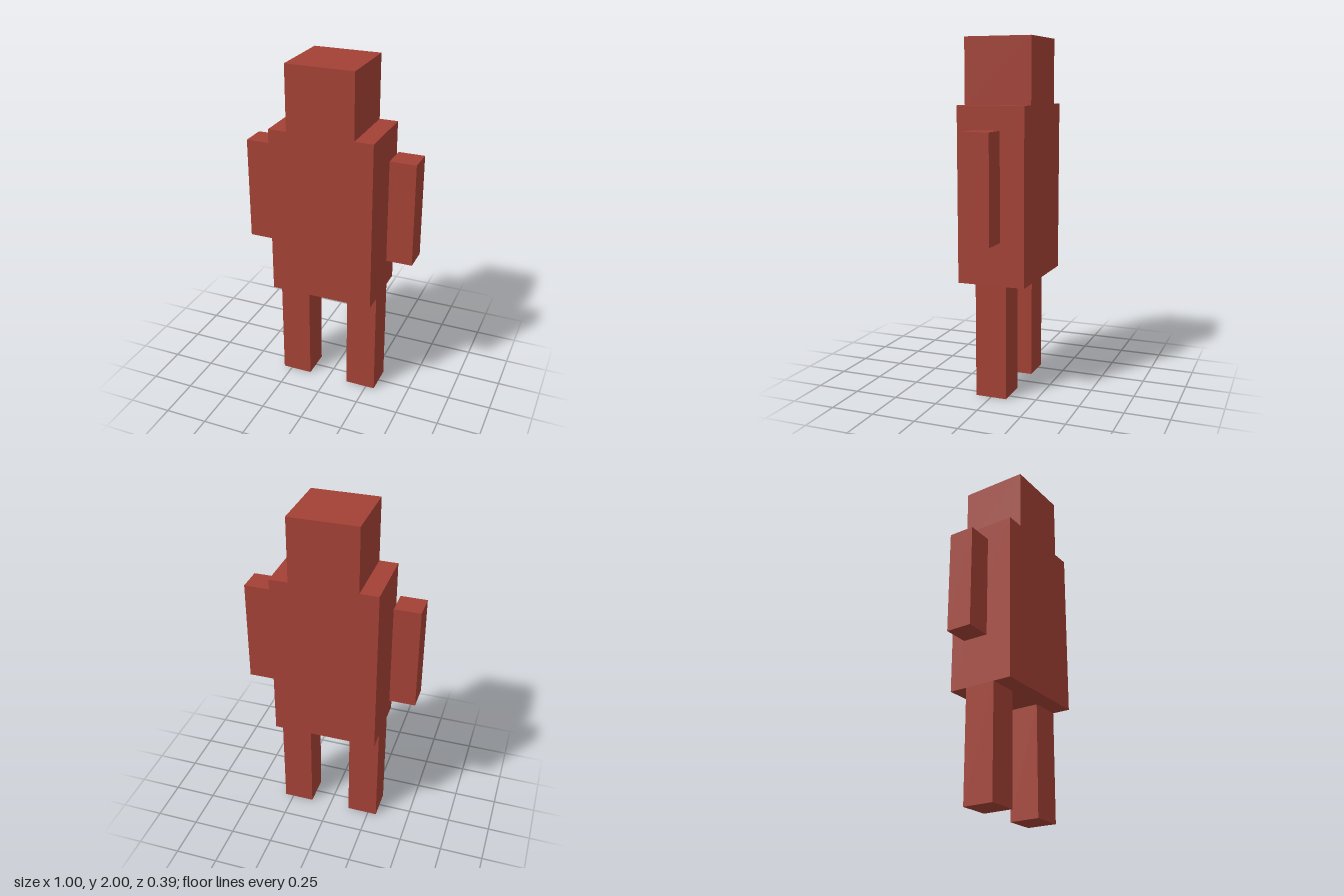
import * as THREE from 'three';

export function createModel() {
  const model = new THREE.Group();
  model.name = 'blockFigure';

  const brickRed = new THREE.MeshStandardMaterial({ color: 0xa34135 });
  brickRed.name = 'brickRed';

  // Box given by its size, centre x and the height of its underside
  function addBlock(name, width, height, depth, x, bottom) {
    const mesh = new THREE.Mesh(new THREE.BoxGeometry(width, height, depth), brickRed);
    mesh.name = name;
    mesh.position.set(x, bottom + height / 2, 0);
    model.add(mesh);
  }

  // Head and torso share the same depth
  addBlock('head', 0.39, 0.37, 0.39, 0, 1.63);
  addBlock('torso', 0.604, 0.985, 0.39, 0, 0.645);

  // Mirrored limbs; the arms float clear of the torso
  for (const [side, s] of [['left', 1], ['right', -1]]) {
    addBlock(side + 'Arm', 0.15, 0.6, 0.15, s * 0.425, 0.9);
    addBlock(side + 'Leg', 0.18, 0.645, 0.18, s * 0.212, 0);
  }

  return model;
}
